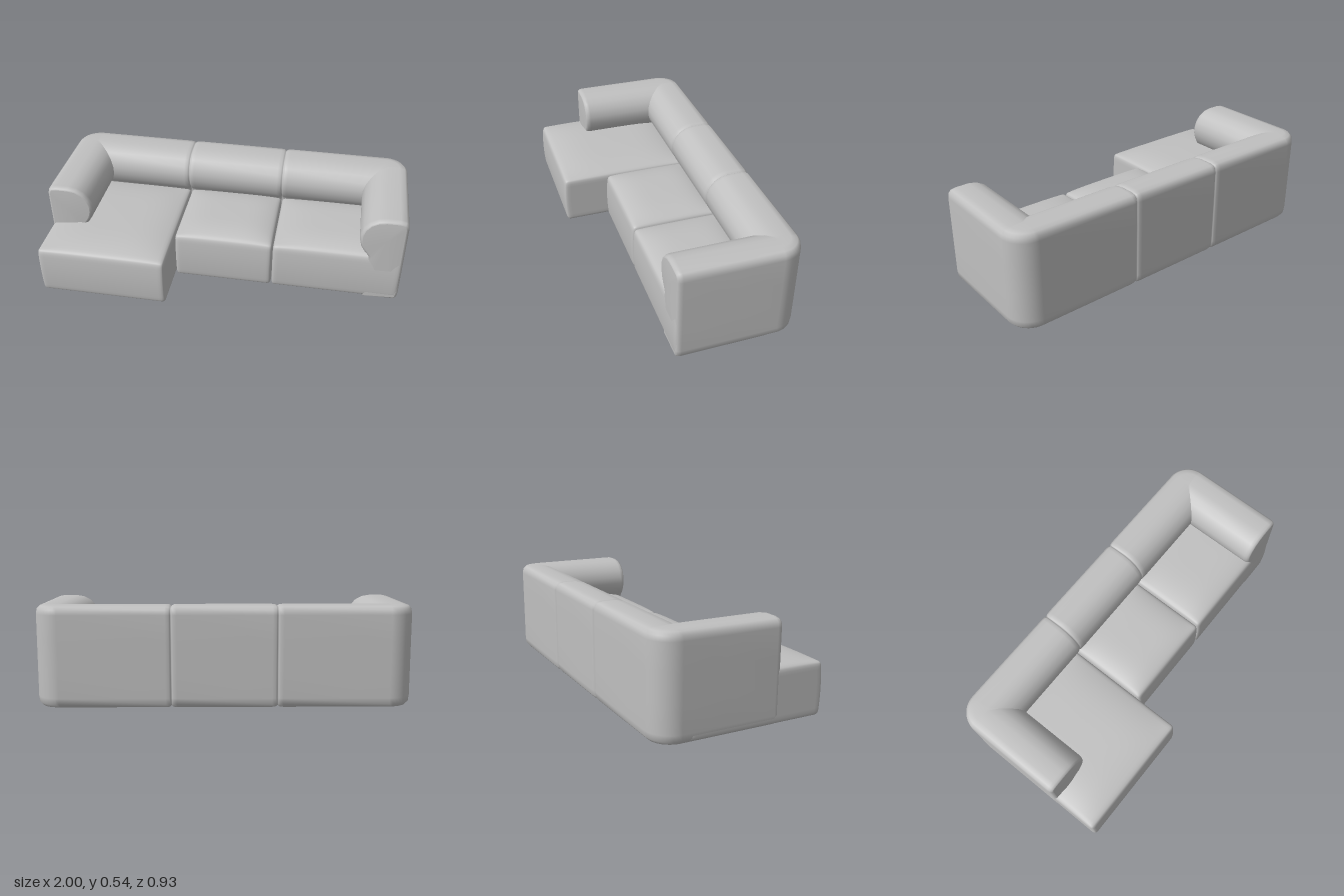
import * as THREE from 'three';
import { mergeVertices } from 'three/addons/utils/BufferGeometryUtils.js';

const BACK = -0.465, FRONT = 0.2, CORNER = 0.13, SEAM = 0.28;

// Back and arm cross-section: [distance in from the outer wall, height]
const PROFILE = [
  [0.02, 0], [0.004, 0.018], [0, 0.05], [0, 0.2], [0, 0.35], [0, 0.49], [0.005, 0.516], [0.02, 0.532],
  [0.05, 0.538], [0.12, 0.538], [0.165, 0.53], [0.205, 0.508], [0.235, 0.472], [0.25, 0.43],
  [0.25, 0.39], [0.239, 0.35], [0.22, 0.318], [0.195, 0.288], [0.2, 0.26], [0.2, 0], [0.02, 0],
];

// Profile shrunk along its inward normals, for soft ends and seams
function insetProfile(amount) {
  const n = PROFILE.length;
  return PROFILE.map(([d, y], i) => {
    const a = PROFILE[i === 0 ? n - 2 : i - 1], b = PROFILE[i === n - 1 ? 1 : i + 1];
    const td = b[0] - a[0], ty = b[1] - a[1], len = Math.hypot(td, ty);
    return [d + (amount * ty) / len, y - (amount * td) / len];
  });
}

// Stations along the U-shaped wall, each mapping wall depth to a plan position
function wallStations() {
  const half = (s) => {
    const list = [];
    for (const [z, inset] of [[FRONT + 0.003, 0.016], [FRONT, 0.008], [0.19, 0.002], [0.175, 0], [-0.1, 0]])
      list.push({ inset, at: (d) => [s * (1 - d), z] });
    for (let k = 0; k <= 10; k++) {
      const a = (k / 10) * Math.PI / 2;
      list.push({
        inset: 0,
        at: (d) => {
          const m = Math.max(CORNER, d), r = Math.max(CORNER - d, 0);
          return [s * (1 - m + r * Math.cos(a)), BACK + m - r * Math.sin(a)];
        },
      });
    }
    for (const [dx, inset] of [[0.03, 0], [0.012, 0.002], [0.004, 0.006], [0, 0.011], [-0.004, 0.006], [-0.012, 0.002], [-0.03, 0]])
      list.push({ inset, at: (d) => [s * (SEAM + dx), BACK + d] });
    return list;
  };
  return [...half(1), ...half(-1).reverse()];
}

function wallGeometry() {
  const stations = wallStations(), n = PROFILE.length;
  const pos = [], index = [];
  const addRing = (st) => {
    for (const [d, y] of insetProfile(st.inset)) {
      const [x, z] = st.at(d);
      pos.push(x, y, z);
    }
  };
  stations.forEach(addRing);
  for (let i = 0; i < stations.length - 1; i++)
    for (let j = 0; j < n - 1; j++) {
      const a = i * n + j, b = a + n;
      index.push(a, b, a + 1, b, b + 1, a + 1);
    }
  // Slightly domed arm fronts
  for (const [st, s] of [[stations[0], 1], [stations[stations.length - 1], -1]]) {
    const start = pos.length / 3;
    addRing(st);
    const centre = pos.length / 3;
    pos.push(s * 0.89, 0.41, FRONT + 0.012);
    for (let j = 0; j < n - 1; j++) {
      const a = start + j, b = a + 1;
      if (s > 0) index.push(centre, a, b);
      else index.push(centre, b, a);
    }
  }
  const geo = new THREE.BufferGeometry();
  geo.setAttribute('position', new THREE.Float32BufferAttribute(pos, 3));
  geo.setIndex(index);
  geo.computeVertexNormals();
  return geo;
}

// Rounded block with a crowned top and a gently swelling front
function cushionGeometry(x0, x1, z0, z1) {
  const size = [x1 - x0, 0.284, z1 - z0], r = 0.022;
  let geo = new THREE.BoxGeometry(1, 1, 1, 28, 16, 28);
  geo.deleteAttribute('uv');
  geo.deleteAttribute('normal');
  geo = mergeVertices(geo);
  const p = geo.attributes.position, v = new THREE.Vector3(), core = new THREE.Vector3();
  for (let i = 0; i < p.count; i++) {
    v.fromBufferAttribute(p, i);
    // Crowd the grid towards the edges, then round them
    const q = v.toArray().map((t, k) => Math.sin(t * Math.PI) * size[k] / 2);
    core.fromArray(q.map((t, k) => THREE.MathUtils.clamp(t, r - size[k] / 2, size[k] / 2 - r)));
    v.fromArray(q).sub(core).normalize().multiplyScalar(r).add(core);
    const [u, h, w] = [2 * v.x / size[0], 2 * v.y / size[1], 2 * v.z / size[2]];
    if (h > 0) v.y += 0.033 * h * (1 - u ** 4) * (1 - w ** 4);
    if (w > 0) v.z += 0.009 * w * (1 - h * h);
    p.setXYZ(i, v.x + (x0 + x1) / 2, v.y + size[1] / 2 + 0.002, v.z + (z0 + z1) / 2);
  }
  geo.computeVertexNormals();
  return geo;
}

export function createModel() {
  const group = new THREE.Group();
  group.name = 'sectionalSofa';
  const fabric = new THREE.MeshStandardMaterial({ color: 0xc0c0c0 });
  fabric.name = 'greyFabric';
  const add = (name, geo) => {
    const mesh = new THREE.Mesh(geo, fabric);
    mesh.name = name;
    group.add(mesh);
  };

  // Wraparound backrest and arms
  add('backrestAndArms', wallGeometry());

  // Seats: long chaise, middle and corner
  const gap = 0.002;
  add('chaiseSeat', cushionGeometry(-0.998, -SEAM - gap, -0.3, 0.456));
  add('middleSeat', cushionGeometry(-SEAM + gap, SEAM - gap, -0.3, FRONT));
  add('cornerSeat', cushionGeometry(SEAM + gap, 0.996, -0.3, FRONT));
  return group;
}
